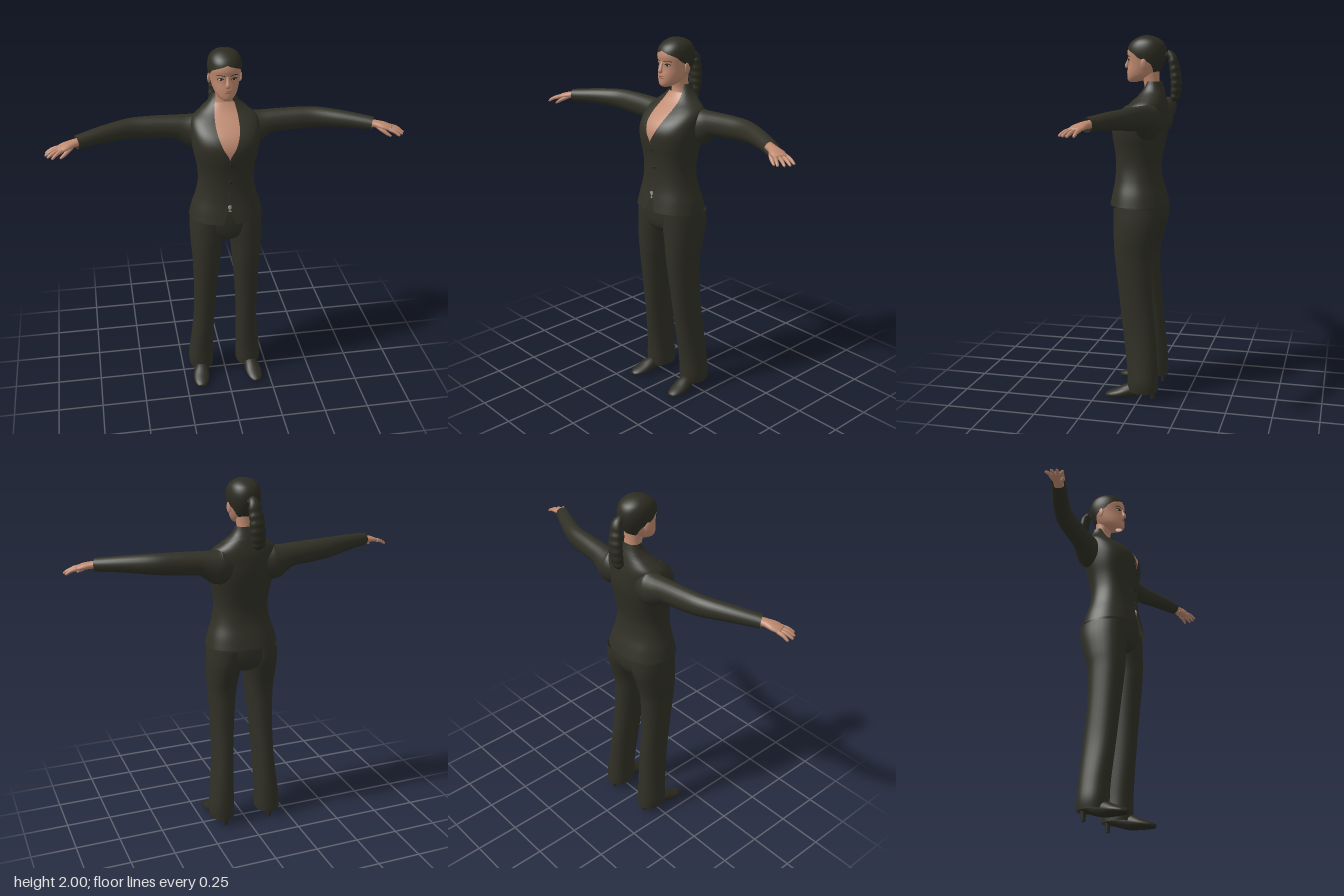
import * as THREE from 'three';
import { mergeVertices } from 'three/addons/utils/BufferGeometryUtils.js';

const mat = (name, color, side = THREE.FrontSide) => {
  const m = new THREE.MeshStandardMaterial({ color, side });
  m.name = name;
  return m;
};
const V = (x, y, z) => new THREE.Vector3(x, y, z);

// Smooth spline through rows of numbers, n steps per interval
function refine(rows, n = 4) {
  const out = [];
  for (let i = 0; i < rows.length - 1; i++) {
    const a = rows[Math.max(i - 1, 0)], b = rows[i], c = rows[i + 1];
    const d = rows[Math.min(i + 2, rows.length - 1)];
    for (let k = 0; k < n; k++) {
      const t = k / n;
      out.push(b.map((_, j) => b[j] + 0.5 * t * (c[j] - a[j]
        + t * (2 * a[j] - 5 * b[j] + 4 * c[j] - d[j] + t * (3 * (b[j] - c[j]) + d[j] - a[j])))));
    }
  }
  out.push(rows[rows.length - 1].slice());
  return out;
}

// Skin a list of rings of points; optional caps close both ends
function skinRings(rings, cap = false) {
  const list = rings.slice();
  if (cap) {
    const flat = (r) => {
      const c = V(0, 0, 0);
      r.forEach((p) => c.addScaledVector(p, 1 / r.length));
      return r.map(() => c);
    };
    list.unshift(flat(rings[0]));
    list.push(flat(rings[rings.length - 1]));
  }
  const n = list[0].length, pos = [], idx = [];
  list.forEach((r) => r.forEach((p) => pos.push(p.x, p.y, p.z)));
  for (let i = 0; i < list.length - 1; i++) {
    for (let j = 0; j < n - 1; j++) {
      const a = i * n + j, b = a + 1, c = a + n, d = c + 1;
      idx.push(a, b, d, a, d, c);
    }
  }
  let g = new THREE.BufferGeometry();
  g.setAttribute('position', new THREE.Float32BufferAttribute(pos, 3));
  g.setIndex(idx);
  g = mergeVertices(g, 1e-5);
  g.computeVertexNormals();
  return g;
}

// Upright loft: row = [y, halfWidth, zFront, zBack, ...]; span gives the angles covered (0 = front)
function upright(rows, { span = () => [0, Math.PI * 2], cx = () => 0, p = 0.9, n = 36, grow = 0, cap } = {}) {
  const bend = (v) => Math.sign(v) * Math.abs(v) ** p;
  return skinRings(rows.map((r) => {
    const [a, b] = span(r), ring = [];
    for (let j = 0; j <= n; j++) {
      const t = a + (b - a) * j / n;
      ring.push(V(cx(r) + (r[1] + grow) * bend(Math.sin(t)), r[0],
        (r[2] + r[3]) / 2 + ((r[2] - r[3]) / 2 + grow) * bend(Math.cos(t))));
    }
    return ring;
  }), cap);
}

// Tube along rows [x, y, z, radius along up, radius across]
function limb(rows, { up = V(0, 1, 0), s = 1, n = 18, steps = 4, cap = true } = {}) {
  const path = refine(rows.map(([x, ...r]) => [x * s, ...r]), steps);
  return skinRings(path.map((r, i) => {
    const q = path[Math.max(i - 1, 0)], w = path[Math.min(i + 1, path.length - 1)];
    const T = V(w[0] - q[0], w[1] - q[1], w[2] - q[2]).normalize();
    const A = up.clone().addScaledVector(T, -up.dot(T)).normalize();
    const B = T.clone().cross(A), ring = [];
    for (let j = 0; j <= n; j++) {
      const t = Math.PI * 2 * j / n;
      ring.push(V(r[0], r[1], r[2]).addScaledVector(A, r[3] * Math.cos(t)).addScaledVector(B, r[4] * Math.sin(t)));
    }
    return ring;
  }), cap);
}

export function createModel() {
  const model = new THREE.Group();
  const suit = mat('dark suit', 0x303026, THREE.DoubleSide);
  const hair = mat('dark hair', 0x2c2c22, THREE.DoubleSide);
  const leather = mat('shoe leather', 0x2b2a21);
  const skin = mat('skin', 0xbf8a70, THREE.DoubleSide);
  const lip = mat('lips', 0x9c6252);
  const white = mat('eye white', 0xb8aca0);
  const dark = mat('eye dark', 0x1c1712);
  const metal = mat('buckle metal', 0x9a9a98);
  const add = (name, geo, m, parent = model) => {
    const mesh = new THREE.Mesh(geo, m);
    mesh.name = name;
    parent.add(mesh);
    return mesh;
  };
  const blob = (name, m, [x, y, z], [a, b, c], ry = 0) => {
    const e = add(name, new THREE.SphereGeometry(1, 16, 10), m);
    e.position.set(x, y, z);
    e.scale.set(a, b, c);
    e.rotation.y = ry;
  };

  // Jacket: [y, halfWidth, zFront, zBack, half width of front opening]
  const P = 0.88;
  const torso = refine([
    [1.09, 0.2, 0.19, -0.126, 0.035], [1.15, 0.186, 0.178, -0.11, 0.014], [1.22, 0.163, 0.165, -0.09, 0.003],
    [1.3, 0.15, 0.16, -0.083, 0], [1.38, 0.155, 0.165, -0.095, 0], [1.46, 0.172, 0.178, -0.112, 0],
    [1.52, 0.18, 0.178, -0.121, 0.032], [1.57, 0.182, 0.155, -0.122, 0.052], [1.61, 0.18, 0.115, -0.12, 0.061],
    [1.64, 0.165, 0.078, -0.115, 0.062], [1.67, 0.125, 0.042, -0.108, 0.06], [1.7, 0.086, 0.018, -0.1, 0.054],
    [1.73, 0.064, 0, -0.09, 0.047], [1.757, 0.055, -0.012, -0.082, 0.045]]);
  const open = (r) => Math.asin(Math.min(1, (Math.max(r[4], 0) / r[1]) ** (1 / P)));
  add('jacket', upright(torso, { p: P, n: 56, span: (r) => [open(r), Math.PI * 2 - open(r)] }), suit);
  add('chest', upright(torso.filter((r) => r[0] > 1.45 && r[0] < 1.72),
    { p: P, n: 14, span: (r) => [-open(r), open(r)] }), skin);

  // Lapels widen to a notch, then the collar continues round the back
  const lapelRows = torso.filter((r) => r[0] > 1.459 && r[0] < 1.635);
  const collarRows = torso.filter((r) => r[0] > 1.635);
  for (const s of [-1, 1]) {
    const strip = (reach) => (r) => {
      const a = open(r), b = a + reach(r);
      return s > 0 ? [a, b] : [-b, -a];
    };
    add('lapel', upright(lapelRows, { p: P, n: 6, grow: 0.006, span: strip((r) => (r[0] - 1.455) * 2) }), suit);
    add('collar', upright(collarRows, { p: P, n: 20, grow: 0.006,
      span: strip((r) => Math.min(Math.PI - open(r), 0.15 + Math.max(0, r[0] - 1.65) * 40)) }), suit);
  }

  // Front closing details
  for (const y of [1.33, 1.43]) blob('button', dark, [0.008, y, y > 1.4 ? 0.172 : 0.162], [0.007, 0.007, 0.004]);
  const buckle = add('buckle', new THREE.BoxGeometry(0.018, 0.018, 0.008), metal);
  buckle.position.set(0, 1.185, 0.17);
  const belly = add('belly', new THREE.CircleGeometry(0.012, 3, Math.PI / 2), skin);
  belly.position.set(0, 1.165, 0.173);

  // Trousers: hips, then one leg each side with [y, halfWidth, zFront, zBack, centre x]
  add('hips', upright(refine([[0.955, 0.06, 0.11, -0.08], [0.985, 0.15, 0.143, -0.1], [1.03, 0.19, 0.156, -0.112],
    [1.1, 0.19, 0.16, -0.11], [1.18, 0.165, 0.155, -0.09], [1.24, 0.145, 0.14, -0.075]]), { cap: true }), suit);
  const legRows = refine([[0.045, 0.069, 0.066, -0.1, 0.141], [0.1, 0.072, 0.069, -0.1, 0.142],
    [0.2, 0.066, 0.075, -0.096, 0.137], [0.4, 0.059, 0.1, -0.08, 0.125], [0.6, 0.064, 0.123, -0.061, 0.118],
    [0.8, 0.076, 0.146, -0.058, 0.112], [0.9, 0.085, 0.152, -0.08, 0.11], [1.0, 0.096, 0.155, -0.107, 0.102],
    [1.08, 0.094, 0.155, -0.11, 0.1]], 5);

  const d = V(0.93, 0, 0.37), side = V(-0.37, 0, 0.93);
  for (const s of [-1, 1]) {
    add('trouserLeg', upright(legRows, { cx: (r) => s * r[4], n: 28 }), suit);

    // Heeled shoe
    add('shoe', limb([[0.138, 0.08, -0.09, 0.025, 0.022], [0.138, 0.075, -0.06, 0.032, 0.032],
      [0.14, 0.056, 0, 0.036, 0.034], [0.15, 0.043, 0.06, 0.04, 0.042], [0.158, 0.03, 0.115, 0.028, 0.047],
      [0.164, 0.02, 0.165, 0.018, 0.037], [0.168, 0.014, 0.19, 0.01, 0.018]], { s }), leather);
    const heel = add('heel', new THREE.CylinderGeometry(0.018, 0.011, 0.07, 12), leather);
    heel.position.set(s * 0.138, 0.036, -0.072);

    // Sleeve
    add('sleeve', limb([[0.08, 1.56, -0.035, 0.075, 0.065], [0.15, 1.55, -0.043, 0.096, 0.075],
      [0.2, 1.562, -0.045, 0.08, 0.066], [0.26, 1.577, -0.043, 0.064, 0.056], [0.38, 1.584, -0.037, 0.061, 0.051],
      [0.5, 1.59, -0.022, 0.055, 0.047], [0.64, 1.591, 0.035, 0.044, 0.043], [0.775, 1.584, 0.1, 0.035, 0.037]],
    { s, n: 24, cap: false }), suit);

    // Hand with four fingers and a thumb
    const hand = new THREE.Group();
    hand.name = s > 0 ? 'leftHand' : 'rightHand';
    model.add(hand);
    add('palm', limb([[0.74, 1.587, 0.084, 0.02, 0.025], [0.79, 1.583, 0.106, 0.019, 0.028],
      [0.83, 1.576, 0.122, 0.017, 0.039], [0.868, 1.566, 0.136, 0.011, 0.036]], { s }), skin, hand);
    [0.06, 0.075, 0.073, 0.06].forEach((len, i) => {
      const k = (i - 1.5) * 0.019;
      const at = (f, drop, r) => {
        const q = V(0.857, 1.568 - drop, 0.131).addScaledVector(d, len * f).addScaledVector(side, k * (1 + 0.5 * f));
        return [q.x, q.y, q.z, r, r];
      };
      add('finger', limb([at(0, 0, 0.01), at(0.5, 0.008, 0.009), at(0.9, 0.022, 0.007), at(1, 0.026, 0.004)],
        { s, n: 10 }), skin, hand);
    });
    add('thumb', limb([[0.795, 1.575, 0.122, 0.012, 0.014], [0.815, 1.562, 0.147, 0.011, 0.012],
      [0.838, 1.546, 0.163, 0.009, 0.009], [0.857, 1.534, 0.172, 0.005, 0.005]], { s, n: 10 }), skin, hand);

    // Eye, brow and ear
    blob('eyeWhite', white, [s * 0.034, 1.867, 0.083], [0.014, 0.0055, 0.005], s * 0.4);
    blob('iris', dark, [s * 0.033, 1.867, 0.086], [0.0065, 0.0055, 0.004], s * 0.4);
    add('eyelid', limb([[0.018, 1.869, 0.091, 0.002, 0.002], [0.034, 1.874, 0.088, 0.003, 0.003],
      [0.05, 1.869, 0.077, 0.002, 0.002]], { s, n: 6 }), dark);
    add('brow', limb([[0.015, 1.886, 0.095, 0.002, 0.002], [0.036, 1.891, 0.087, 0.003, 0.003],
      [0.055, 1.885, 0.074, 0.0015, 0.002]], { s, n: 6 }), hair);
    blob('ear', skin, [s * 0.081, 1.85, -0.008], [0.008, 0.029, 0.018], s * 0.3);
  }

  // Neck
  add('neck', upright(refine([[1.62, 0.06, 0.05, -0.09], [1.68, 0.053, 0.02, -0.088], [1.73, 0.046, 0.006, -0.078],
    [1.77, 0.046, 0.015, -0.074], [1.82, 0.05, 0.03, -0.075]])), skin);

  // Head: last column is the angle where face meets hair
  const head = refine([[1.752, 0.018, 0.088, 0.05, 3.14], [1.763, 0.037, 0.099, 0.005, 3.14],
    [1.785, 0.056, 0.102, -0.045, 2.75], [1.815, 0.068, 0.1, -0.078, 2.3], [1.85, 0.077, 0.094, -0.098, 1.95],
    [1.88, 0.083, 0.095, -0.108, 1.3], [1.91, 0.086, 0.099, -0.112, 0.9], [1.94, 0.083, 0.092, -0.107, 0],
    [1.965, 0.073, 0.075, -0.093, 0], [1.984, 0.054, 0.048, -0.066, 0], [1.996, 0.028, 0.02, -0.035, 0],
    [2.0, 0.001, -0.007, -0.009, 0]]);
  const edge = (r) => Math.min(Math.PI, Math.max(0, r[4]));
  add('face', upright(head.filter((r) => r[0] < 1.941), { p: 0.95, span: (r) => [-edge(r), edge(r)] }), skin);
  add('hair', upright(head.filter((r) => r[0] > 1.765),
    { p: 0.95, grow: 0.002, span: (r) => [edge(r), Math.PI * 2 - edge(r)] }), hair);
  add('nose', limb([[0, 1.883, 0.091, 0.005, 0.007], [0, 1.858, 0.1, 0.008, 0.009], [0, 1.838, 0.106, 0.011, 0.013],
    [0, 1.829, 0.102, 0.008, 0.012]], { up: V(0, 0, 1), n: 12 }), skin);
  blob('upperLip', lip, [0, 1.808, 0.097], [0.022, 0.004, 0.007]);
  blob('lowerLip', lip, [0, 1.801, 0.097], [0.018, 0.005, 0.007]);

  // Ponytail with a banded root and gentle waves
  const tail = [[0, 1.885, -0.095, 0.018, 0.018], [-0.003, 1.902, -0.122, 0.02, 0.022]];
  for (let i = 0; i <= 12; i++) {
    const f = i / 12, r = (0.021 + 0.014 * Math.sin(Math.PI * (0.15 + 0.7 * f))) * (i % 2 ? 1.05 : 0.95);
    tail.push([-0.006 - 0.024 * f, 1.885 - 0.235 * f, -0.145 - 0.022 * Math.sin(Math.PI * f * 0.8) + 0.006 * f,
      r * (f === 1 ? 0.4 : 0.85), r * (f === 1 ? 0.5 : 1.15)]);
  }
  add('ponytail', limb(tail, { up: V(0, 0.3, -1).normalize(), n: 16, steps: 3 }), hair);
  return model;
}
